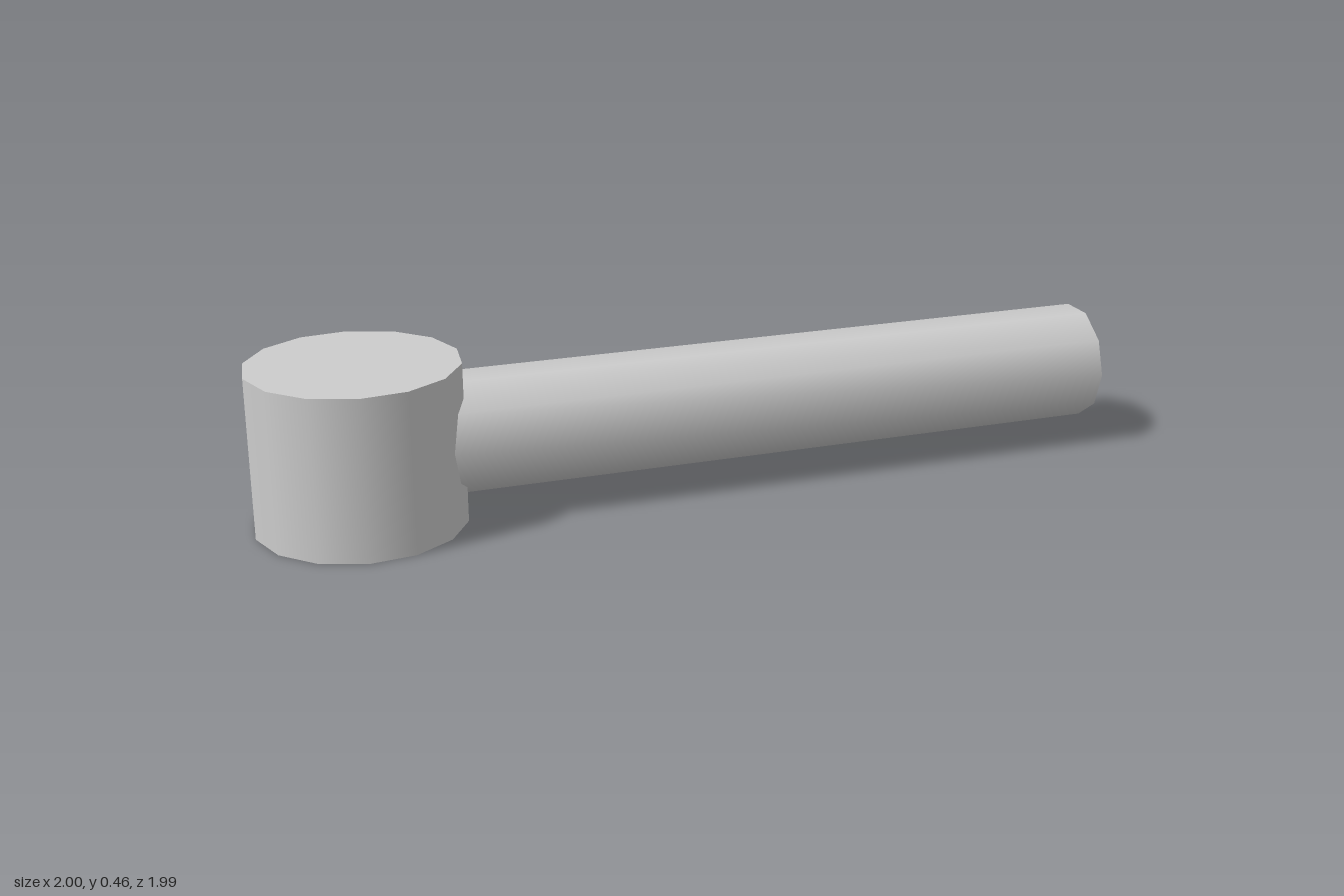
import * as THREE from 'three';

export function createModel() {
  const group = new THREE.Group();
  const grey = new THREE.MeshStandardMaterial({ color: 0xcccccc });
  grey.name = 'light grey';
  grey.side = THREE.DoubleSide;

  // Upright 14-sided drum, with a corner pointing along +x
  const headHeight = 0.463;
  const head = new THREE.Mesh(
    new THREE.CylinderGeometry(0.298, 0.298, headHeight, 14, 1, false, Math.PI / 2), grey);
  head.name = 'head';
  head.position.set(-0.702, headHeight / 2, 0.702);
  group.add(head);

  // Open 10-sided tube running diagonally back from inside the drum
  const start = new THREE.Vector3(-0.6, headHeight / 2, 0.6);
  const end = new THREE.Vector3(0.878, headHeight / 2, -0.878);
  const geometry = new THREE.CylinderGeometry(
    0.172, 0.172, start.distanceTo(end), 10, 1, true, Math.PI / 2);
  geometry.rotateX(-Math.PI / 2).rotateY(-Math.PI / 4);
  const handle = new THREE.Mesh(geometry, grey);
  handle.name = 'handleTube';
  handle.position.copy(start).lerp(end, 0.5);
  group.add(handle);

  return group;
}
